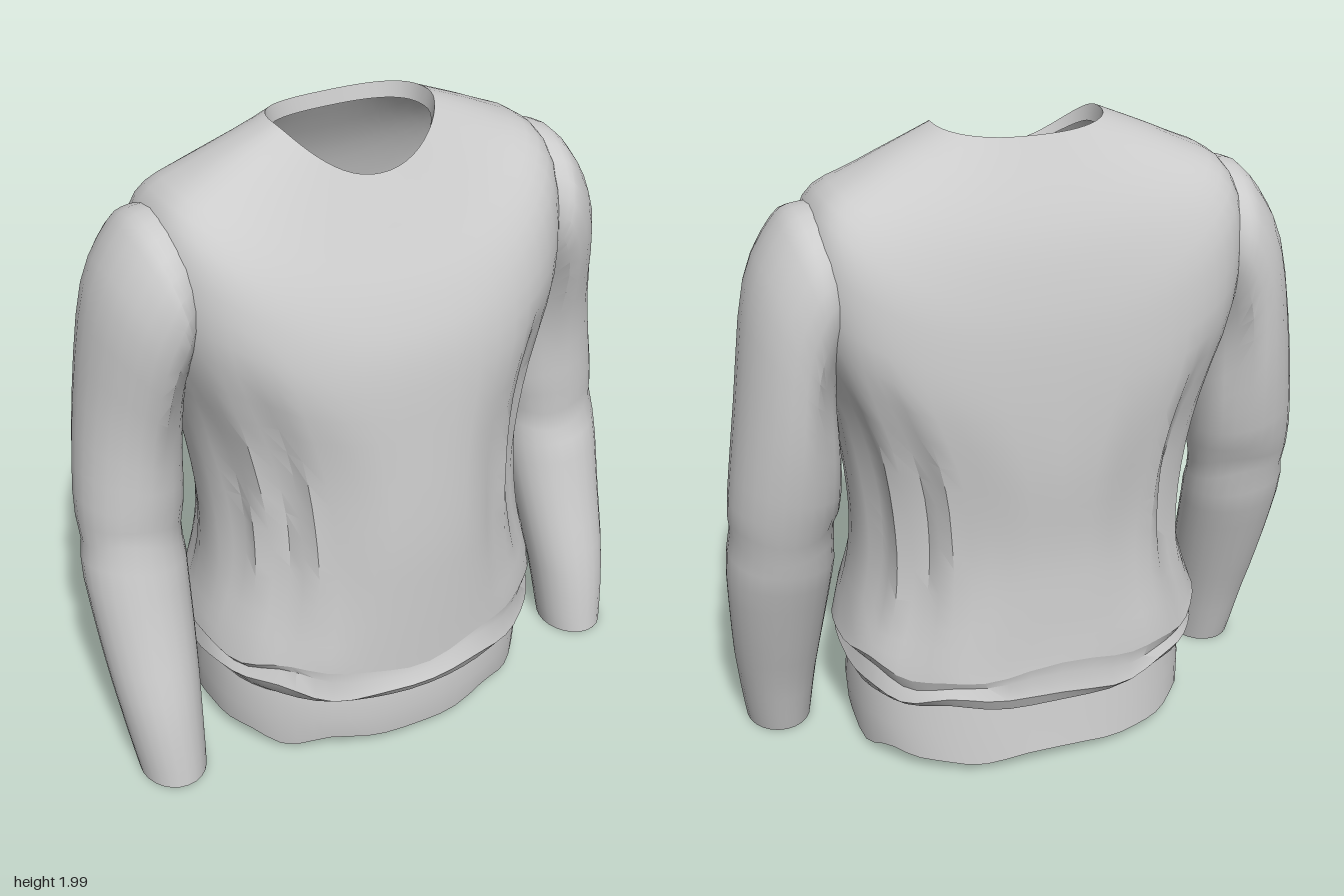
import * as THREE from 'three';
import { toCreasedNormals } from 'three/addons/utils/BufferGeometryUtils.js';

const material = new THREE.MeshStandardMaterial({ color: 0xcccccc, side: THREE.DoubleSide });
const { lerp, clamp, smoothstep } = THREE.MathUtils;
const bell = (d) => Math.exp(-d * d);

// Smooth (Catmull-Rom) rings between the key rings
function refine(keys, steps) {
  const key = (i) => keys[clamp(i, 0, keys.length - 1)];
  const rings = [];
  for (let n = 0; n <= (keys.length - 1) * steps; n++) {
    const i = Math.floor(n / steps), t = n / steps - i;
    rings.push(key(i).map((p1, k) => {
      const p0 = key(i - 1)[k], p2 = key(i + 1)[k], p3 = key(i + 2)[k];
      return p1 + 0.5 * t * (p2 - p0 + t * (2 * p0 - 5 * p1 + 4 * p2 - p3 + t * (3 * (p1 - p2) + p3 - p0)));
    }));
  }
  return rings;
}

// Skin a closed tube through rings; point(ring, angle) returns [x, y, z].
// Faces whose first corner passes the hole test are left out.
function loft(name, rings, segments, point, { flip = false, hole = () => false } = {}) {
  const position = [], index = [];
  rings.forEach((ring, r) => {
    for (let s = 0; s < segments; s++) {
      const p = point(ring, (s / segments) * Math.PI * 2);
      position.push(...p);
      if (r === 0 || hole(p)) continue;
      const c = r * segments + s, d = r * segments + (s + 1) % segments;
      const a = c - segments, b = d - segments;
      if (flip) index.push(a, c, b, b, c, d);
      else index.push(a, b, c, b, d, c);
    }
  });
  const geometry = new THREE.BufferGeometry();
  geometry.setAttribute('position', new THREE.Float32BufferAttribute(position, 3));
  geometry.setIndex(index);
  const mesh = new THREE.Mesh(toCreasedNormals(geometry, 0.6), material);
  mesh.name = name;
  return mesh;
}

// Body rings: half width, front z, back z, side z, side y, front y, back y
const COLLAR = [
  [0.24, 0.12, -0.20, -0.04, 1.95, 1.84, 1.94],
  [0.25, 0.13, -0.21, -0.04, 2.00, 1.86, 1.985],
];
const TORSO = [
  COLLAR[1],
  [0.47, 0.235, -0.335, -0.06, 1.905, 1.68, 1.77],
  [0.62, 0.32, -0.395, -0.06, 1.81, 1.53, 1.58],
  [0.655, 0.38, -0.425, -0.06, 1.56, 1.36, 1.38],
  [0.575, 0.415, -0.44, -0.04, 1.18, 1.07, 1.07],
  [0.53, 0.44, -0.43, -0.02, 0.86, 0.79, 0.79],
  [0.535, 0.447, -0.44, 0, 0.62, 0.58, 0.60],
  [0.59, 0.45, -0.46, 0, 0.39, 0.345, 0.38],
];
const HEM_ROLL = [
  TORSO[7],
  [0.565, 0.455, -0.455, 0, 0.355, 0.32, 0.345],
  [0.58, 0.475, -0.47, 0, 0.31, 0.27, 0.30],
  [0.555, 0.45, -0.45, 0, 0.27, 0.235, 0.265],
  [0.545, 0.415, -0.39, 0, 0.25, 0.225, 0.26],
];
const WAISTBAND = [
  HEM_ROLL[4],
  [0.555, 0.425, -0.405, 0, 0.15, 0.14, 0.15],
  [0.55, 0.415, -0.42, 0, 0.05, 0.05, 0.05],
  [0.53, 0.395, -0.40, 0, 0.08, 0.08, 0.08],
];

// Hanging folds on each half: angle at top, angle at bottom, width, depth, top y, bottom y
const FOLDS = [
  [0.82, 0.60, 0.15, 0.10, 1.43, 0.42],
  [1.14, 0.97, 0.11, 0.05, 1.30, 0.40],
  [0.40, 0.25, 0.13, 0.07, 1.30, 0.50],
  [-0.42, -0.33, 0.13, 0.07, 1.35, 0.45],
  [-0.88, -0.70, 0.13, 0.09, 1.40, 0.40],
  [-1.28, -1.13, 0.11, 0.05, 1.30, 0.40],
];

function foldScale(a, y) {
  const half = Math.atan2(Math.sin(a), Math.abs(Math.cos(a)));
  let scale = 1;
  for (const [top, bottom, width, depth, y1, y0] of FOLDS) {
    const t = clamp((y1 - y) / (y1 - y0), 0, 1);
    scale -= depth * Math.sin(Math.PI * t) * bell((half - lerp(top, bottom, t)) / width);
  }
  return scale;
}

function bodyPoint([w, zf, zb, zs, ys, yf, yb], a) {
  const c = Math.cos(a), s = Math.sin(a);
  // Chest and shoulder blades are broader than the waist
  const chest = smoothstep(ys, 1.0, 1.5) * (1 - smoothstep(ys, 1.75, 1.98));
  const [zEnd, yEnd, e] = s > 0 ? [zf, yf, 0.95 - 0.13 * chest] : [zb, yb, 0.8 - 0.2 * chest];
  const y = lerp(ys, yEnd, Math.abs(s) ** (2 + 0.6 * chest));
  const k = foldScale(a, y);
  // Uneven roll over the waistband and a bottom edge that is ragged at the sides
  const roll = smoothstep(y, 0.22, 0.3) * (1 - smoothstep(y, 0.4, 0.52));
  const ragged = (1 - smoothstep(y, 0.08, 0.14)) * (0.3 + 0.7 * Math.abs(c));
  return [
    w * Math.sign(c) * Math.abs(c) ** e * k,
    y + roll * (0.016 * Math.sin(5 * a + 25 * y) + 0.008 * Math.sin(11 * a))
      + ragged * (0.018 * Math.sin(7 * a) + 0.01 * Math.sin(12 * a + 1)),
    lerp(zs, zEnd, Math.abs(s) ** e * k),
  ];
}

// Armhole in the torso wall, hidden under the sleeve
const armhole = ([x, y, z]) =>
  Math.abs(x) > 0.58 && ((y - 1.53) / 0.2) ** 2 + ((z + 0.06) / 0.18) ** 2 < 1;

// Sleeve rings: outer x, outer y, inner x, inner y, centre z, half depth
const SLEEVE = [
  [0.57, 1.81, 0.56, 1.42, -0.07, 0.20],
  [0.64, 1.812, 0.57, 1.38, -0.068, 0.235],
  [0.71, 1.775, 0.575, 1.34, -0.065, 0.25],
  [0.81, 1.60, 0.58, 1.24, -0.075, 0.235],
  [0.87, 1.25, 0.575, 1.06, -0.10, 0.195],
  [0.91, 0.94, 0.58, 0.88, -0.085, 0.17],
  [0.925, 0.74, 0.597, 0.69, -0.05, 0.155],
  [0.915, 0.48, 0.615, 0.48, 0.02, 0.145],
  [0.895, 0.23, 0.64, 0.23, 0.10, 0.138],
  [0.865, 0.01, 0.66, 0.01, 0.15, 0.122],
];
const CUFF_LINING = [
  SLEEVE[9],
  [0.85, 0.02, 0.675, 0.02, 0.15, 0.108],
  [0.85, 0.07, 0.675, 0.07, 0.14, 0.108],
];

function sleevePoint(side) {
  return ([ox, oy, ix, iy, zc, rz], a) => {
    const c = Math.cos(a), s = Math.sin(a);
    const y = lerp(iy, oy, (1 + c) / 2);
    // Creases pinching the elbow and cuff, and a dent below the armpit
    const elbow = bell((y - 0.8) / 0.06), cuff = bell((y - 0.19) / 0.03);
    const pinch = 1 - 0.09 * elbow - 0.06 * cuff;
    const dent = 0.03 * bell((c + 0.55) / 0.25) * bell((y - 1.25) / 0.2);
    return [
      side * lerp(ix, ox, (1 + c * pinch) / 2),
      y + 0.03 * elbow * Math.sin(2 * a + side) + 0.02 * cuff * Math.sin(3 * a + side),
      zc + s * rz * pinch - Math.sign(s) * dent,
    ];
  };
}

export function createModel() {
  const sweater = new THREE.Group();
  sweater.name = 'sweater';
  sweater.add(
    loft('collar', COLLAR, 56, bodyPoint),
    loft('torso', refine(TORSO, 4), 56, bodyPoint, { hole: armhole }),
    loft('hemRoll', HEM_ROLL, 56, bodyPoint),
    loft('waistband', WAISTBAND, 56, bodyPoint),
  );
  for (const [name, side] of [['left', 1], ['right', -1]]) {
    const flip = side < 0;
    sweater.add(
      loft(name + 'Sleeve', refine(SLEEVE, 3), 24, sleevePoint(side), { flip }),
      loft(name + 'CuffLining', CUFF_LINING, 24, sleevePoint(side), { flip }),
    );
  }
  return sweater;
}
